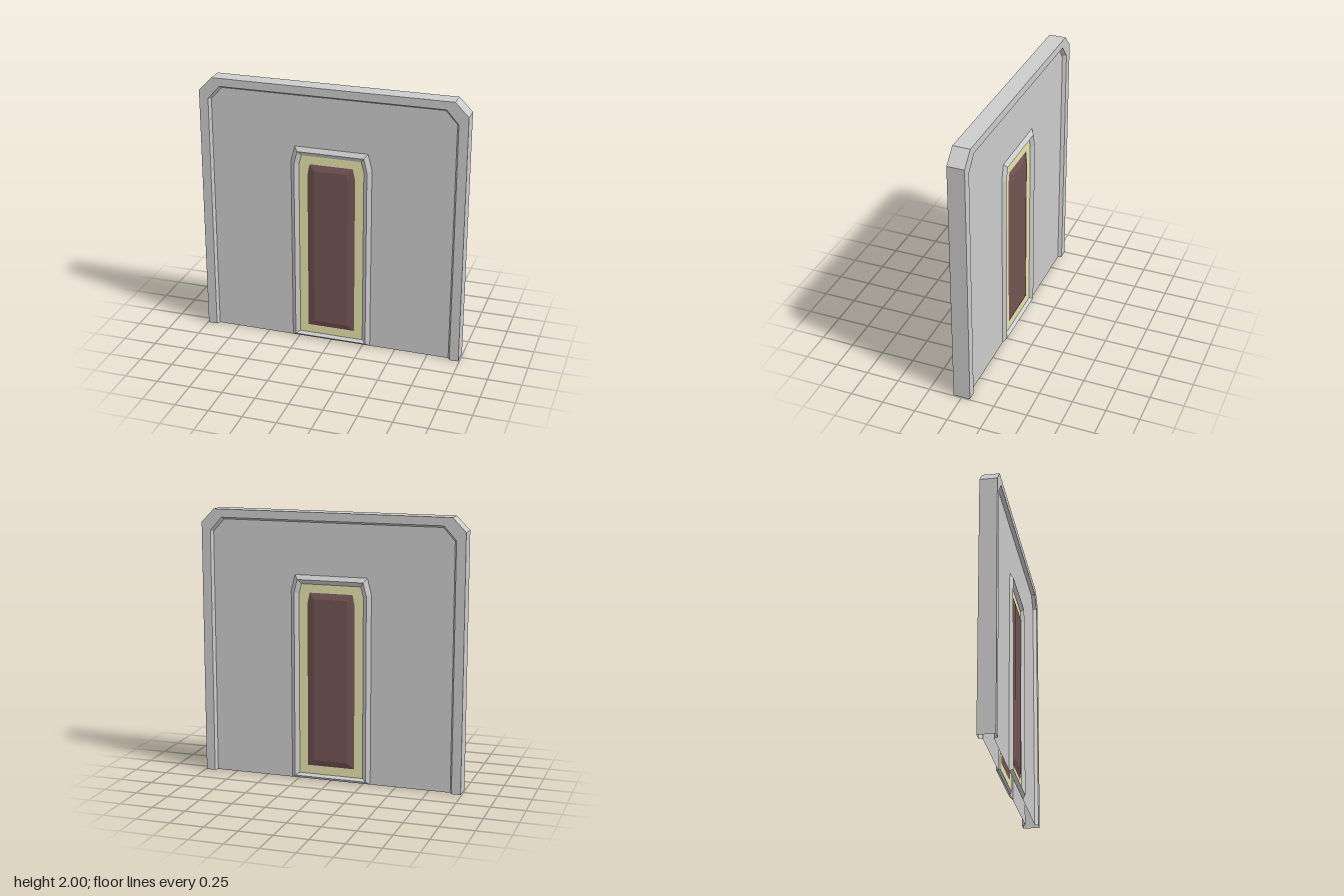
import * as THREE from 'three';

const mat = (color) => new THREE.MeshStandardMaterial({ color, flatShading: true, side: THREE.DoubleSide });

// Outline with clipped top corners, running left foot, over the top, right foot.
// w: half width, bottom: foot height, shoulder: where the clip starts, tw: half width at the top
function outline(w, bottom, shoulder, tw, top) {
  const left = [[-w, bottom], [-w, shoulder], [-tw, top]];
  return [...left, ...left.map(([x, y]) => [-x, y]).reverse()];
}

// Flat-faced band between two outlines at depths za and zb; closed joins the feet too
function band(a, za, b, zb, closed = false) {
  const pos = [];
  const n = a.length;
  for (let i = 0; i < (closed ? n : n - 1); i++) {
    const j = (i + 1) % n;
    const a0 = [...a[i], za], a1 = [...a[j], za];
    const b0 = [...b[i], zb], b1 = [...b[j], zb];
    pos.push(...a0, ...b0, ...b1, ...a0, ...b1, ...a1);
  }
  const g = new THREE.BufferGeometry();
  g.setAttribute('position', new THREE.Float32BufferAttribute(pos, 3));
  g.computeVertexNormals();
  return g;
}

function cap(points, z) {
  const shape = new THREE.Shape(points.map(([x, y]) => new THREE.Vector2(x, y)));
  return new THREE.ShapeGeometry(shape).translate(0, 0, z);
}

export function createModel() {
  const model = new THREE.Group();
  model.name = 'wallWithDoor';
  const grey = mat(0xcccccc), cream = mat(0xe7e4ac), maroon = mat(0x735353);

  const FRONT = 0.063, WALL = 0.036, PEAK = 0.06, PANEL = 0.052;

  // Border outlines
  const outer = outline(0.993, 0, 1.9, 0.895, 2);
  const rim = outline(0.925, 0, 1.84, 0.835, 1.94);
  const wallEdge = outline(0.91, 0, 1.832, 0.825, 1.925);
  // Door outlines, from the surround inwards
  const trimOuter = outline(0.305, 0, 1.42, 0.275, 1.54);
  const trimPeak = outline(0.275, 0.022, 1.41, 0.25, 1.508);
  const trimInner = outline(0.245, 0.04, 1.4, 0.225, 1.475);
  const panelBase = outline(0.18, 0.105, 1.33, 0.163, 1.412);
  const panelTop = outline(0.128, 0.15, 1.32, 0.122, 1.368);

  const add = (parent, name, geometry, material) => {
    const mesh = new THREE.Mesh(geometry, material);
    mesh.name = name;
    parent.add(mesh);
  };

  // Outer edge through the full thickness, open underneath
  add(model, 'outerEdge', band(outer, -FRONT, outer, FRONT), grey);

  // Both faces are alike
  for (const name of ['frontFace', 'backFace']) {
    const face = new THREE.Group();
    face.name = name;
    if (name === 'backFace') face.rotation.y = Math.PI;
    add(face, 'border', band(outer, FRONT, rim, FRONT), grey);
    add(face, 'borderBevel', band(rim, FRONT, wallEdge, WALL), grey);
    add(face, 'wall', band(wallEdge, WALL, trimOuter, WALL), grey);
    add(face, 'doorTrimOuterSlope', band(trimOuter, WALL, trimPeak, PEAK, true), grey);
    add(face, 'doorTrimInnerSlope', band(trimPeak, PEAK, trimInner, WALL, true), grey);
    add(face, 'doorSurface', band(trimInner, WALL, panelBase, WALL, true), cream);
    add(face, 'doorPanelBevel', band(panelBase, WALL, panelTop, PANEL, true), maroon);
    add(face, 'doorPanel', cap(panelTop, PANEL), maroon);
    model.add(face);
  }
  return model;
}
